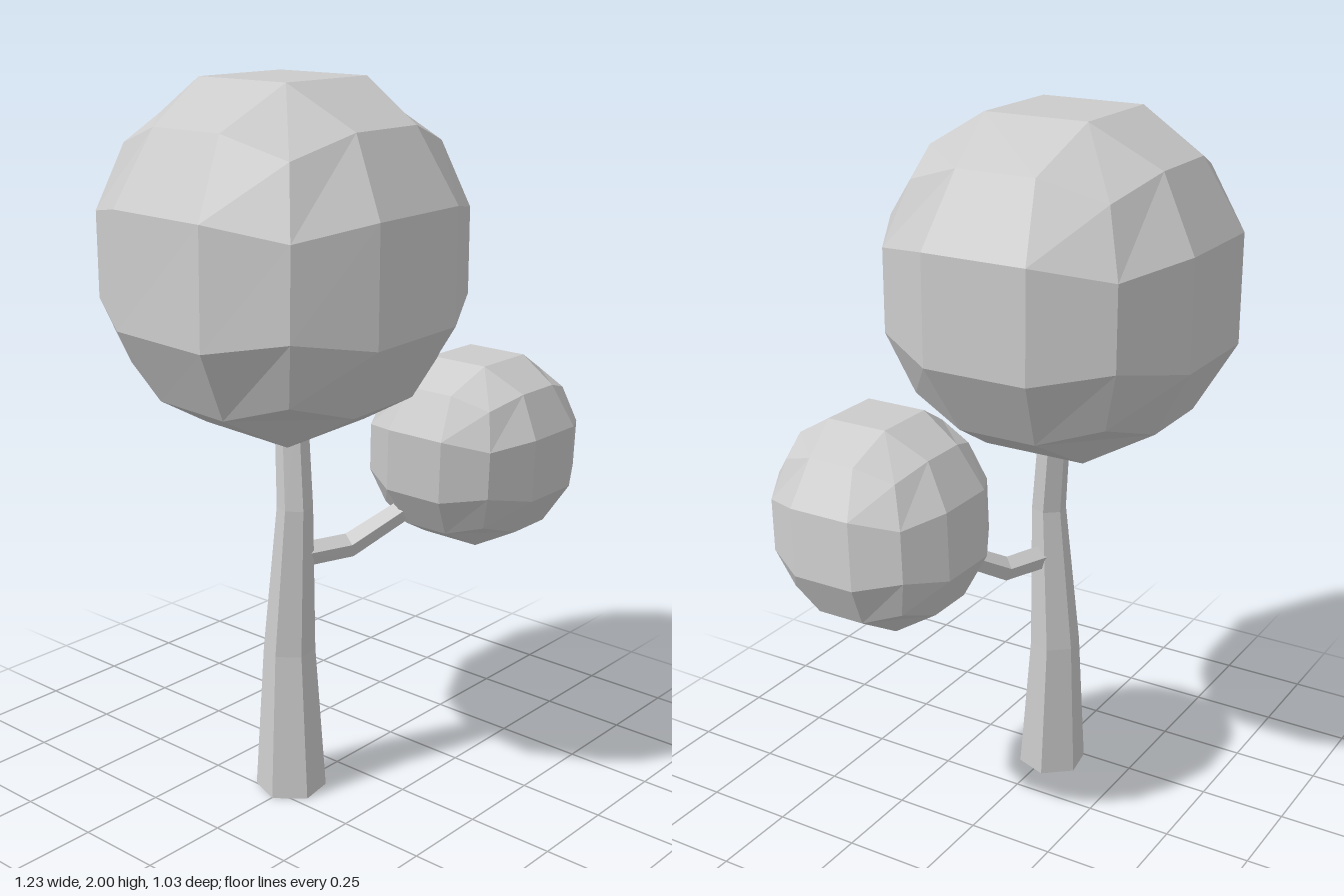
import * as THREE from 'three';

const material = new THREE.MeshStandardMaterial({ color: 0xcccccc, flatShading: true });

function addMesh(group, name, geometry) {
  const mesh = new THREE.Mesh(geometry, material);
  mesh.name = name;
  group.add(mesh);
  return mesh;
}

// Faceted ball: a 3x3x3 box pushed out to a sphere, then bent by a small rule
function foliage(radius, bend) {
  const geometry = new THREE.BoxGeometry(2, 2, 2, 3, 3, 3);
  const pos = geometry.attributes.position;
  const v = new THREE.Vector3();
  for (let i = 0; i < pos.count; i++) {
    v.fromBufferAttribute(pos, i).normalize();
    const n = v.clone();
    bend(v.multiplyScalar(radius), n);
    pos.setXYZ(i, v.x, v.y, v.z);
  }
  geometry.computeVertexNormals();
  return geometry;
}

// Tapered limb through rings [x, y, z, radius]; u and w span each ring, with w x u along the limb
function limb(rings, sides, phase, frame) {
  const vertices = [];
  const indices = [];
  rings.forEach(([x, y, z, r], k) => {
    const [u, w] = frame(k);
    for (let i = 0; i < sides; i++) {
      const a = phase + (i / sides) * Math.PI * 2;
      const p = new THREE.Vector3(x, y, z)
        .addScaledVector(u, r * Math.cos(a))
        .addScaledVector(w, r * Math.sin(a));
      vertices.push(p.x, p.y, p.z);
      if (k === 0) continue;
      const j = (i + 1) % sides;
      const low = (k - 1) * sides, high = k * sides;
      indices.push(low + i, high + i, low + j, low + j, high + i, high + j);
    }
  });
  // End caps
  const last = (rings.length - 1) * sides;
  for (let i = 1; i < sides - 1; i++) {
    indices.push(0, i, i + 1, last, last + i + 1, last + i);
  }
  const geometry = new THREE.BufferGeometry();
  geometry.setAttribute('position', new THREE.Float32BufferAttribute(vertices, 3));
  geometry.setIndex(indices);
  geometry.computeVertexNormals();
  return geometry;
}

export function createModel() {
  const tree = new THREE.Group();
  tree.name = 'tree';

  // Six-sided trunk with level rings
  const trunkRings = [
    [-0.185, 0, -0.015, 0.1],
    [-0.173, 0.42, -0.028, 0.073],
    [-0.172, 0.85, -0.004, 0.05],
    [-0.152, 1.15, -0.035, 0.045],
  ];
  const level = [new THREE.Vector3(1, 0, 0), new THREE.Vector3(0, 0, 1)];
  addMesh(tree, 'trunk', limb(trunkRings, 6, (50 * Math.PI) / 180, () => level));

  // Side branch, rings square to its path
  const branchRings = [
    [-0.17, 0.703, -0.01, 0.036],
    [-0.01, 0.705, 0.05, 0.036],
    [0.12, 0.785, 0.125, 0.032],
    [0.22, 0.86, 0.18, 0.03],
  ];
  const point = (k) => new THREE.Vector3(...branchRings[k].slice(0, 3));
  const up = new THREE.Vector3(0, 1, 0);
  const square = (k) => {
    const along = point(Math.min(k + 1, 3)).sub(point(Math.max(k - 1, 0))).normalize();
    const u = new THREE.Vector3().crossVectors(along, up).normalize();
    return [u, new THREE.Vector3().crossVectors(u, along)];
  };
  addMesh(tree, 'branch', limb(branchRings, 5, Math.PI / 2, square));

  // Main crown, swelling a little at its lower front right
  const swell = new THREE.Vector3(-1, -1, 1).normalize();
  const crown = addMesh(tree, 'mainCrown', foliage(0.505, (v, n) => {
    const push = Math.max(0, n.dot(swell)) ** 2;
    v.x -= 0.025 * push;
    v.y -= 0.015 * push;
    v.z += 0.015 * push;
  }));
  crown.position.set(-0.148, 1.545, -0.056);

  // Small crown on the branch, sheared to the side and front
  const smallCrown = addMesh(tree, 'smallCrown', foliage(0.301, (v) => {
    v.x -= 0.1 * v.y;
    v.z += 0.1 * v.y;
  }));
  smallCrown.position.set(0.322, 0.961, 0.232);

  return tree;
}
